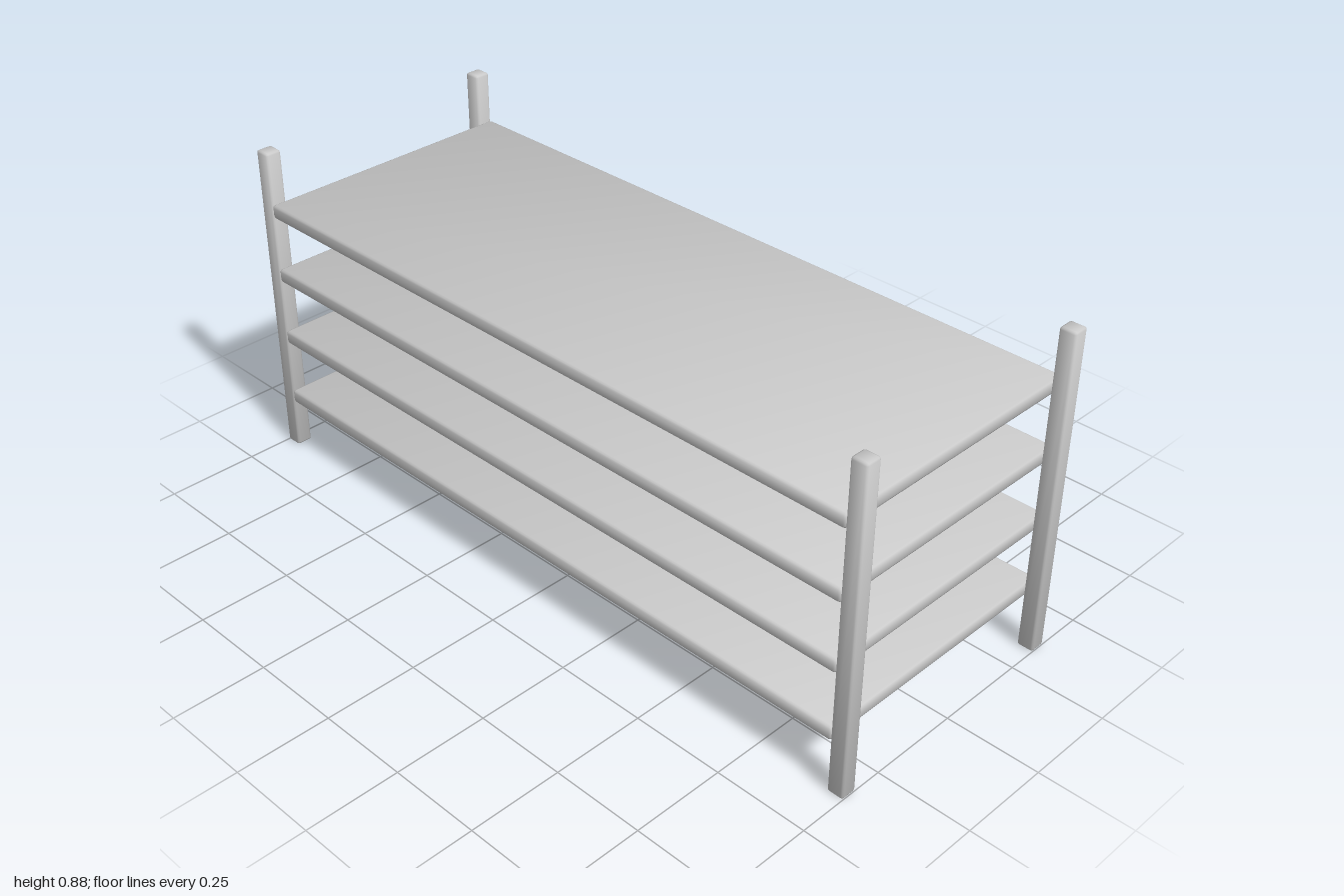
import * as THREE from 'three';
import { RoundedBoxGeometry } from 'three/addons/geometries/RoundedBoxGeometry.js';

const material = new THREE.MeshStandardMaterial({ color: 0xcccccc });

// Slightly bevelled box whose normals lean outward at the corners for soft shading
function softBox(w, h, d, bevel) {
  const geometry = new RoundedBoxGeometry(w, h, d, 1, bevel);
  const { position, normal } = geometry.attributes;
  const p = new THREE.Vector3();
  const n = new THREE.Vector3();
  for (let i = 0; i < position.count; i++) {
    p.fromBufferAttribute(position, i);
    n.fromBufferAttribute(normal, i);
    p.set(Math.sign(p.x), Math.sign(p.y), Math.sign(p.z));
    n.addScaledVector(p, 0.5).normalize();
    normal.setXYZ(i, n.x, n.y, n.z);
  }
  return geometry;
}

function addPart(group, name, geometry, x, y, z) {
  const mesh = new THREE.Mesh(geometry, material);
  mesh.name = name;
  mesh.position.set(x, y, z);
  group.add(mesh);
}

export function createModel() {
  const group = new THREE.Group();
  group.name = 'shelfRack';

  const height = 0.882;
  const depth = 0.746;
  const post = 0.044;

  // Four corner posts
  const postGeometry = softBox(post, height, post, 0.006);
  for (const [side, sx] of [['Left', 1], ['Right', -1]]) {
    for (const [end, sz] of [['front', 1], ['back', -1]]) {
      addPart(group, `${end}${side}Post`, postGeometry,
        sx * (1 - post / 2), height / 2, sz * (depth - post) / 2);
    }
  }

  // Four evenly spaced shelves between the left and right posts
  const shelfGeometry = softBox(1.912, 0.037, depth, 0.007);
  for (let i = 0; i < 4; i++) {
    addPart(group, `shelf${i + 1}`, shelfGeometry, 0, 0.161 + i * 0.187, 0);
  }

  return group;
}
